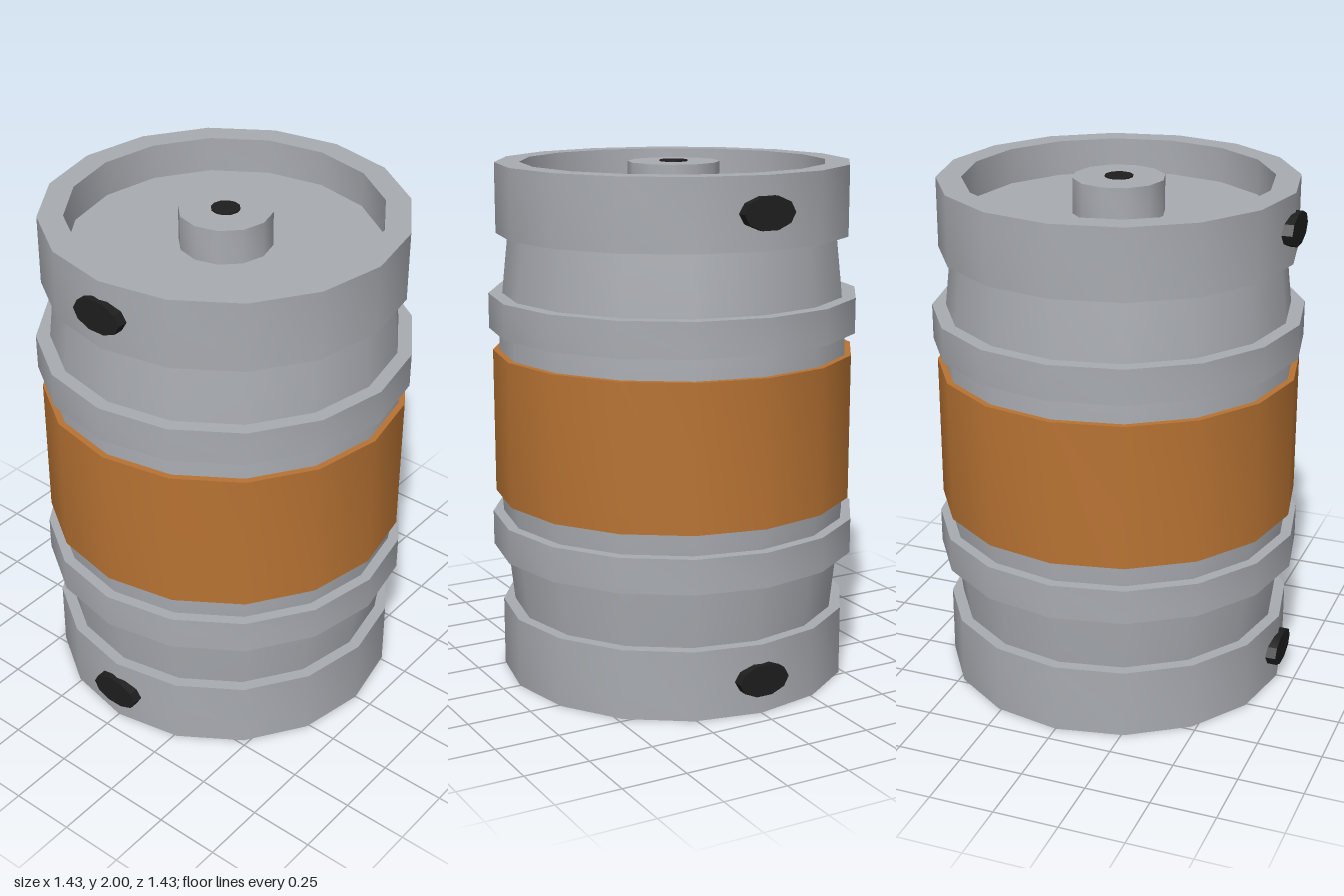
import * as THREE from 'three';
import { toCreasedNormals } from 'three/addons/utils/BufferGeometryUtils.js';

const SIDES = 16;

export function createModel() {
  const model = new THREE.Group();
  model.name = 'keg';

  const mat = (name, color) => {
    const m = new THREE.MeshStandardMaterial({ color });
    m.name = name;
    return m;
  };
  const steel = mat('steel', 0xa8abb0);
  const copper = mat('copper', 0xb87333);
  const black = mat('black', 0x1e1e1e);

  const add = (name, geometry, material) => {
    const mesh = new THREE.Mesh(toCreasedNormals(geometry, 0.62), material);
    mesh.name = name;
    model.add(mesh);
    return mesh;
  };
  // Turned part from [radius, height] pairs, outside running bottom to top
  const turned = (name, points, material, sides = SIDES) =>
    add(name, new THREE.LatheGeometry(points.map(([r, y]) => new THREE.Vector2(r, y)), sides), material);
  // Ring with a rectangular section
  const ring = (name, inner, outer, y0, y1, material) =>
    turned(name, [[inner, y0], [outer, y0], [outer, y1], [inner, y1], [inner, y0]], material);

  // Bulging body; its flat ends are the floors of the two recesses
  turned('body', [
    [0, 0.135], [0.62, 0.135], [0.635, 0.27], [0.66, 0.5], [0.675, 0.68], [0.68, 1],
    [0.675, 1.32], [0.66, 1.5], [0.635, 1.73], [0.62, 1.86], [0, 1.86],
  ], steel);

  // End collars, hoops and the coloured belt
  ring('bottomCollar', 0.585, 0.68, 0, 0.27, steel);
  ring('topCollar', 0.585, 0.68, 1.73, 1.997, steel);
  ring('lowerHoop', 0.6, 0.713, 0.5, 0.635, steel);
  ring('upperHoop', 0.6, 0.713, 1.365, 1.5, steel);
  ring('belt', 0.6, 0.7, 0.72, 1.28, copper);

  // Valve hub with a dark opening
  turned('valveHub', [[0.175, 1.85], [0.175, 1.995], [0, 1.995]], steel, 12);
  turned('valveOpening', [[0.054, 1.992], [0.054, 2], [0, 2]], black, 12);

  // Oval grips on both sides of each collar
  for (const side of [-1, 1]) {
    for (const [level, y] of [['lower', 0.135], ['upper', 1.865]]) {
      const geometry = new THREE.CylinderGeometry(1, 1, 0.06, 10);
      geometry.scale(0.063, 1, 0.105);
      geometry.rotateZ(Math.PI / 2);
      geometry.translate(side * 0.67, y, 0);
      add(`${level}${side > 0 ? 'Left' : 'Right'}Grip`, geometry, black);
    }
  }
  return model;
}
